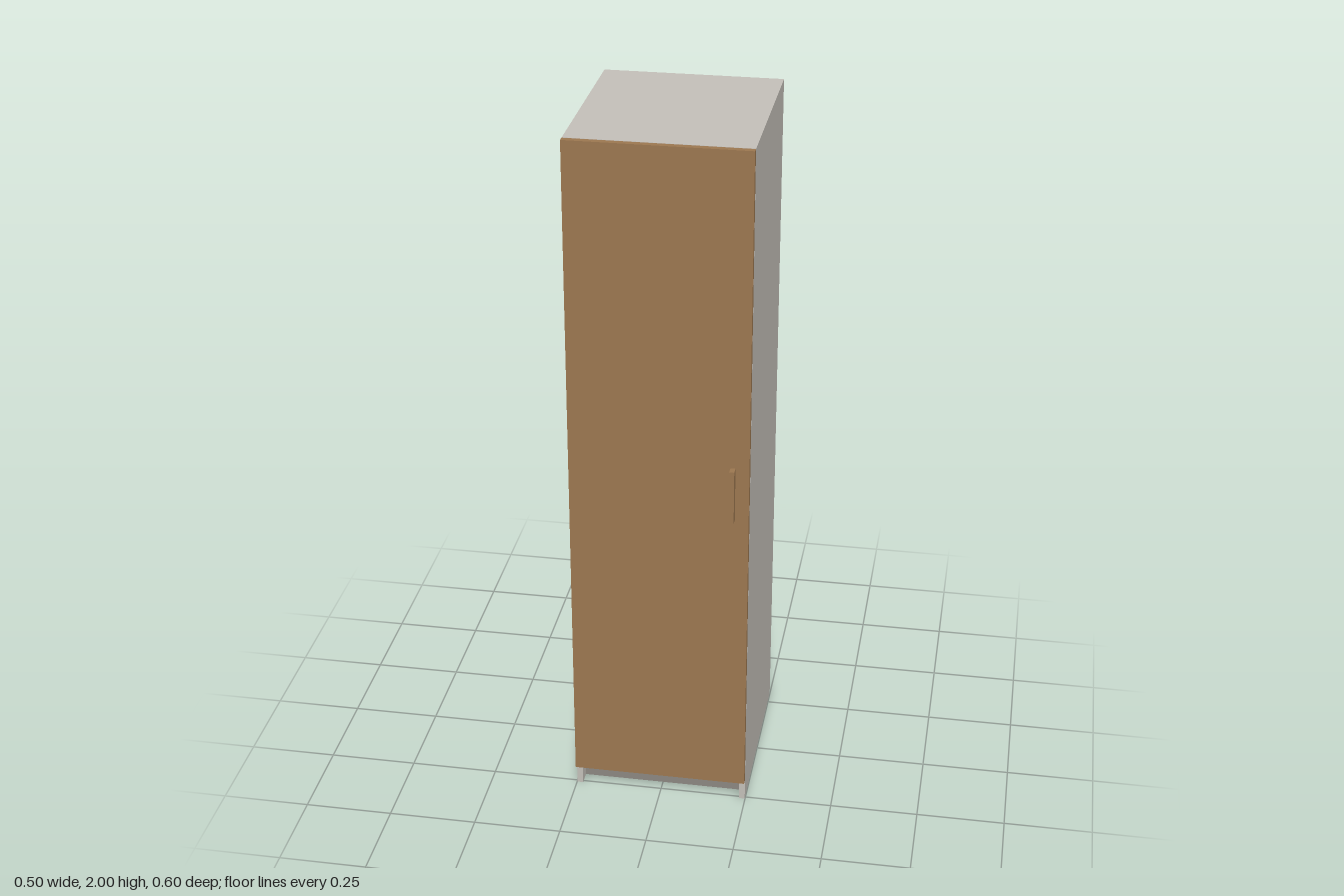
import * as THREE from 'three';

export function createModel() {
  const group = new THREE.Group();
  const panel = new THREE.MeshStandardMaterial({ name: 'lightGreyPanel', color: 0xc2beb7 });
  const wood = new THREE.MeshStandardMaterial({ name: 'brownWood', color: 0x9b764f });
  const plinthGrey = new THREE.MeshStandardMaterial({ name: 'plinthGrey', color: 0x8a8680 });

  // Box given by its minimum and maximum corners
  function board(name, material, min, max) {
    const size = max.map((v, i) => v - min[i]);
    const mesh = new THREE.Mesh(new THREE.BoxGeometry(...size), material);
    mesh.position.set(...max.map((v, i) => (v + min[i]) / 2));
    mesh.name = name;
    group.add(mesh);
  }

  const W = 0.249, T = 0.017, inner = W - T; // half width, board thickness
  const back = -0.3, front = 0.258;

  // Carcass
  board('leftSide', panel, [inner, 0, back], [W, 2, front]);
  board('rightSide', panel, [-W, 0, back], [-inner, 2, front]);
  board('topPanel', panel, [-inner, 2 - T, back], [inner, 2, front]);
  board('backPanel', panel, [-inner, 0, back], [inner, 2 - T, back + 0.01]);
  board('bottomPanel', panel, [-inner, 0.058, back + 0.01], [inner, 0.058 + T, front]);

  // Recessed plinth under the door
  board('plinth', plinthGrey, [-inner, 0, 0.2], [inner, 0.058, 0.2 + T]);

  // Door and its bar handle
  board('door', wood, [-W, 0.066, front + 0.002], [W, 2, 0.277]);
  board('handle', wood, [0.197, 0.94, 0.277], [0.211, 1.098, 0.3]);

  return group;
}
